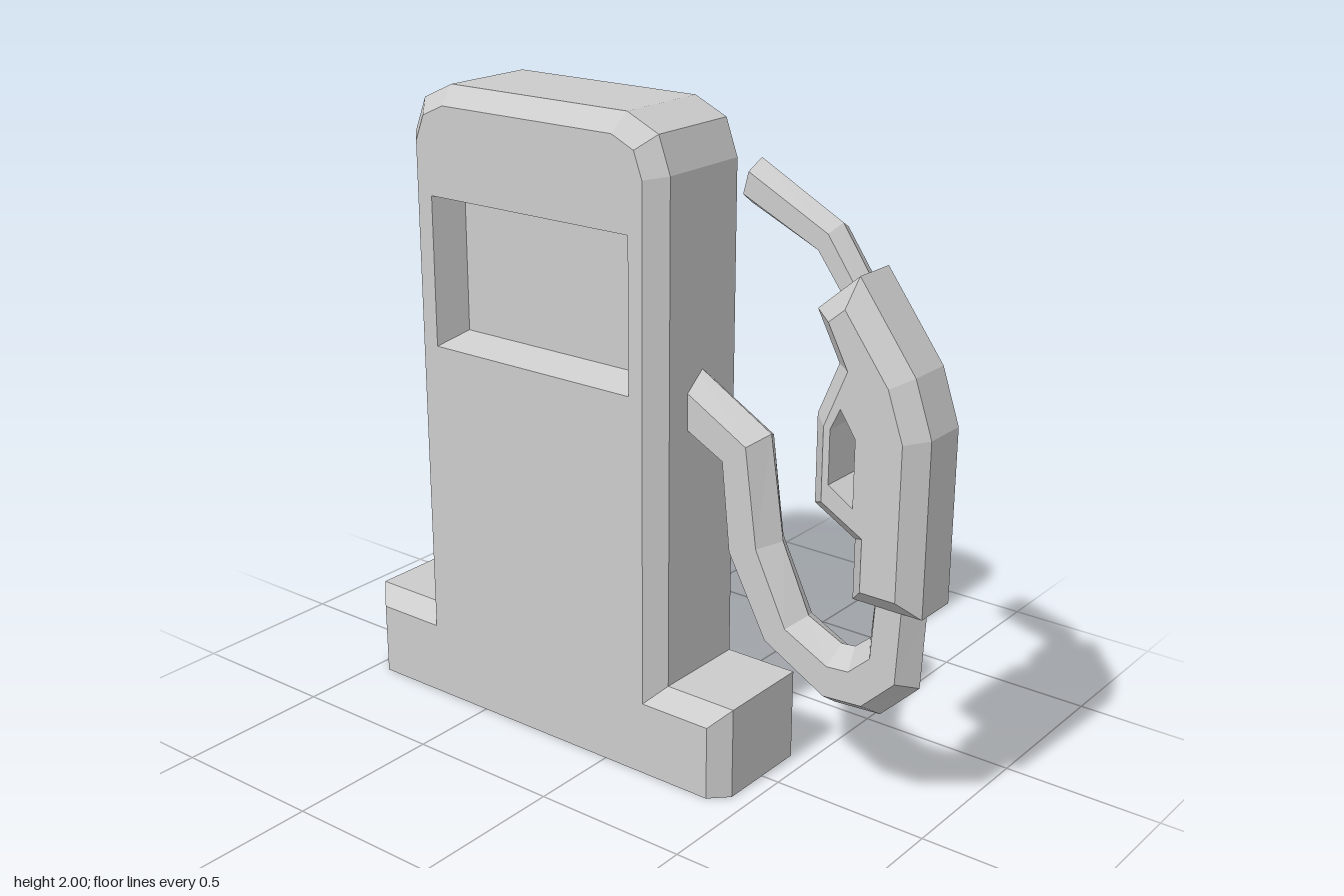
import * as THREE from 'three';

const material = new THREE.MeshStandardMaterial({ color: 0xcccccc, flatShading: true });

// Outline moved inward by d with mitred corners (outline runs counter-clockwise)
function inset(pts, d) {
  const n = pts.length;
  const normal = (a, b) => {
    const l = Math.hypot(b[0] - a[0], b[1] - a[1]);
    return [(a[1] - b[1]) / l, (b[0] - a[0]) / l];
  };
  return pts.map((p, i) => {
    const u = normal(pts[(i + n - 1) % n], p);
    const v = normal(p, pts[(i + 1) % n]);
    const k = d / (1 + u[0] * v[0] + u[1] * v[1]);
    return [p[0] + k * (u[0] + v[0]), p[1] + k * (u[1] + v[1])];
  });
}

const at = (pts, z) => pts.map(([x, y]) => [x, y, z]);

// Walls joining successive rings
function addWalls(out, rings) {
  for (let r = 0; r + 1 < rings.length; r++) {
    const a = rings[r], b = rings[r + 1];
    for (let i = 0; i < a.length; i++) {
      const j = (i + 1) % a.length;
      out.push(...a[i], ...a[j], ...b[j], ...a[i], ...b[j], ...b[i]);
    }
  }
}

// Flat face at depth z, facing forward or backward, with an optional hole
function addFace(out, pts, z, forward, hole) {
  const shape = new THREE.Shape(pts.map(p => new THREE.Vector2(...p)));
  if (hole) shape.holes.push(new THREE.Path(hole.map(p => new THREE.Vector2(...p))));
  const geo = new THREE.ShapeGeometry(shape);
  const pos = geo.attributes.position, idx = geo.index.array;
  for (let i = 0; i < idx.length; i += 3) {
    const tri = [idx[i], idx[i + 1], idx[i + 2]];
    if (!forward) tri.reverse();
    for (const k of tri) out.push(pos.getX(k), pos.getY(k), z);
  }
}

function makeMesh(name, positions) {
  const geo = new THREE.BufferGeometry();
  geo.setAttribute('position', new THREE.Float32BufferAttribute(positions, 3));
  geo.computeVertexNormals();
  const mesh = new THREE.Mesh(geo, material);
  mesh.name = name;
  return mesh;
}

// Slab with chamfered front and back edges
function addSlab(out, outline, front, back, zEdge, zFace, hole) {
  addWalls(out, [at(back, -zFace), at(outline, -zEdge), at(outline, zEdge), at(front, zFace)]);
  addFace(out, front, zFace, true, hole);
  addFace(out, back, -zFace, false, hole);
}

// Six-sided tube; each station is [ax, ay, bx, by], its two edges in the xy plane
function hexTube(name, stations, halfDepth) {
  const rings = stations.map(([ax, ay, bx, by]) =>
    Array.from({ length: 6 }, (_, i) => {
      const t = i * Math.PI / 3, c = Math.cos(t) / 2;
      return [
        (ax + bx) / 2 + c * (ax - bx),
        (ay + by) / 2 + c * (ay - by),
        halfDepth * Math.sin(t) / Math.sin(Math.PI / 3),
      ];
    }));
  const out = [];
  addWalls(out, rings);
  const first = rings[0], last = rings[rings.length - 1];
  for (let i = 1; i < 5; i++) {
    out.push(...first[0], ...first[i + 1], ...first[i]);
    out.push(...last[0], ...last[i], ...last[i + 1]);
  }
  return makeMesh(name, out);
}

export function createModel() {
  const group = new THREE.Group();
  group.name = 'fuelPump';

  // Cabinet and plinth in one slab; the front chamfer stops at the ground
  const cabinet = [
    [-1, 0], [0.44, 0], [0.44, 0.29], [0.2, 0.29], [0.2, 1.84], [0.16, 1.95],
    [0.05, 2], [-0.61, 2], [-0.72, 1.95], [-0.765, 1.84], [-0.765, 0.29], [-1, 0.29],
  ];
  const back = inset(cabinet, 0.055);
  const front = back.map(([x, y], i) => [x, i < 2 ? 0 : y]);
  const win = [[-0.655, 1.2], [0.095, 1.2], [0.095, 1.67], [-0.655, 1.67]];
  const panel = inset(win, 0.032);
  const zFace = 0.21, zPanel = 0.1;
  const body = [];
  addSlab(body, cabinet, front, back, 0.155, zFace, win);
  // Display recesses on both faces
  addWalls(body, [at(win, zFace), at(panel, zPanel)]);
  addWalls(body, [at(panel, -zPanel), at(win, -zFace)]);
  group.add(makeMesh('cabinet', body));

  const screens = [];
  addFace(screens, panel, zPanel, true);
  addFace(screens, panel, -zPanel, false);
  group.add(makeMesh('displayPanels', screens));

  // Nozzle handle with grip opening
  const handle = [
    [0.762, 1.64], [0.634, 1.53], [0.708, 1.39], [0.644, 1.235], [0.644, 0.973],
    [0.778, 0.898], [0.778, 0.717], [1, 0.717], [1, 1.235], [0.944, 1.396],
  ];
  const opening = [[0.72, 1.06], [0.8, 1.01], [0.8, 1.21], [0.75, 1.283], [0.72, 1.22]];
  const handleFace = inset(handle, 0.055);
  const nozzle = [];
  addSlab(nozzle, handle, handleFace, handleFace, 0.07, 0.125, opening);
  addWalls(nozzle, [at(opening, 0.125), at(opening, -0.125)]);
  group.add(makeMesh('nozzleHandle', nozzle));

  // Spout
  group.add(hexTube('nozzleSpout', [
    [0.393, 1.893, 0.36, 1.765],
    [0.66, 1.754, 0.6, 1.658],
    [0.746, 1.63, 0.687, 1.545],
    [0.78, 1.585, 0.72, 1.5],
  ], 0.05));

  // Hose from the cabinet side to the handle
  group.add(hexTube('hose', [
    [0.15, 1.279, 0.15, 1.05],
    [0.446, 1.107, 0.285, 0.985],
    [0.495, 0.79, 0.307, 0.727],
    [0.59, 0.583, 0.45, 0.47],
    [0.705, 0.53, 0.687, 0.337],
    [0.75, 0.535, 0.842, 0.348],
    [0.8, 0.578, 0.965, 0.47],
    [0.81, 0.717, 0.976, 0.717],
    [0.81, 0.76, 0.976, 0.76],
  ], 0.07));

  return group;
}
